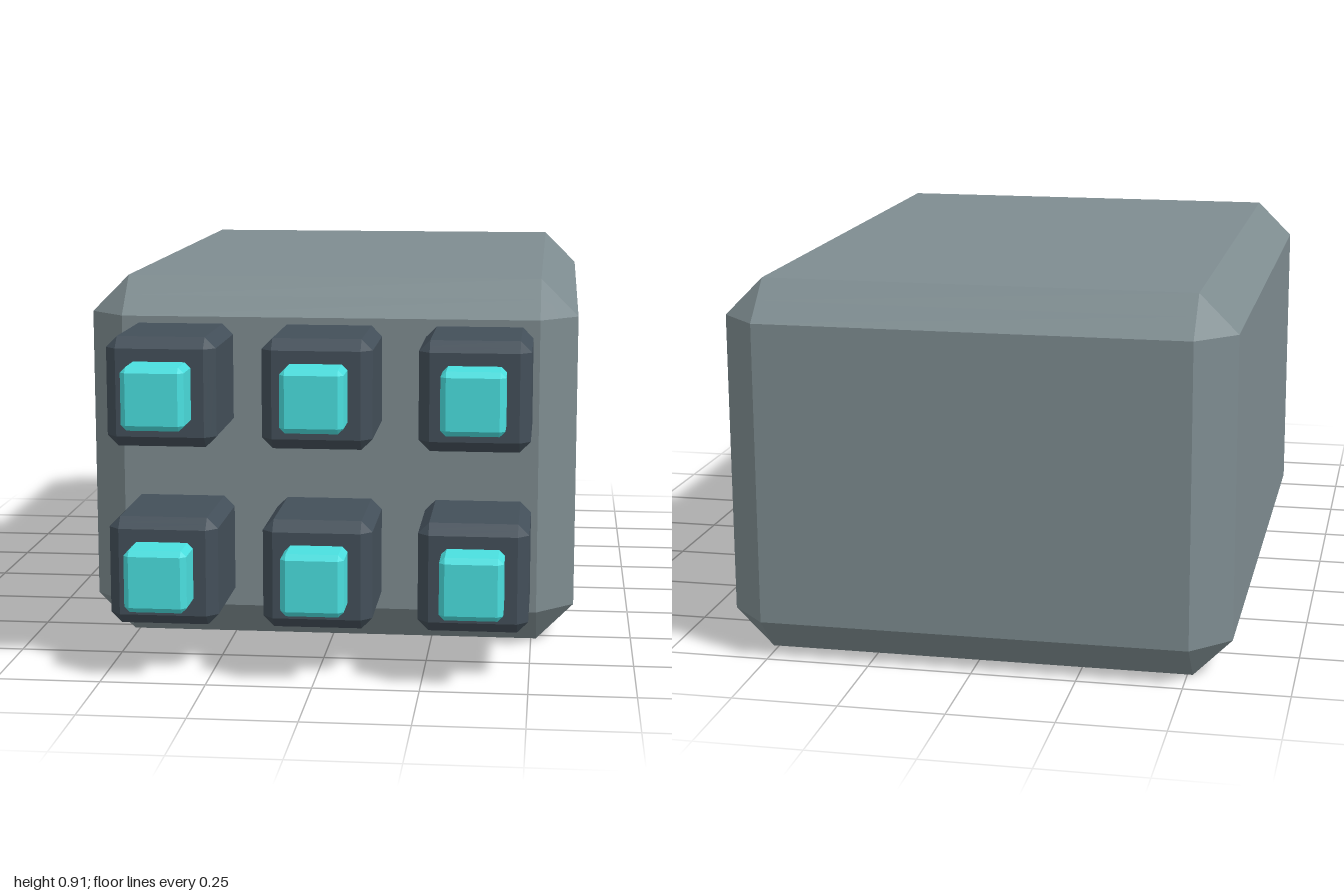
import * as THREE from 'three';

const material = (name, color) => {
  const m = new THREE.MeshStandardMaterial({ color });
  m.name = name;
  return m;
};

// Box with flat 45-degree chamfers: a 3x3x3 grid whose outer rows are pulled onto the bevels.
function chamferBox(min, max, chamfer) {
  const geo = new THREE.BoxGeometry(3, 3, 3, 3, 3, 3);
  const pos = geo.attributes.position;
  for (let i = 0; i < pos.count; i++) {
    const p = [pos.getX(i), pos.getY(i), pos.getZ(i)];
    const outer = p.filter((v) => Math.abs(v) > 1).length; // 1 face, 2 edge, 3 corner
    const q = p.map((v, a) => {
      const inset = Math.abs(v) > 1 ? chamfer * (outer - 1) / outer : chamfer;
      return v > 0 ? max[a] - inset : min[a] + inset;
    });
    pos.setXYZ(i, ...q);
  }
  const flat = geo.toNonIndexed();
  flat.computeVertexNormals();
  return flat;
}

export function createModel() {
  const grey = material('casing grey', 0x7e8c90);
  const dark = material('dark slate', 0x434f59);
  const cyan = material('bright cyan', 0x4adfdf);
  const model = new THREE.Group();
  model.name = 'launcherPod';

  const add = (parent, name, geo, mat) => {
    const mesh = new THREE.Mesh(geo, mat);
    mesh.name = name;
    parent.add(mesh);
  };

  // Main casing
  add(model, 'casing', chamferBox([-0.605, 0, -1], [0.605, 0.91, 0.62], 0.092), grey);

  // Six tubes with square tips, set into the front face
  const tubeGeo = chamferBox([-0.13, -0.13, 0.52], [0.13, 0.13, 0.9], 0.026);
  const tipGeo = chamferBox([-0.074, -0.074, 0.85], [0.074, 0.074, 1], 0.013);
  for (const y of [0.241, 0.671]) {
    for (const x of [-0.367, 0, 0.367]) {
      const tube = new THREE.Group();
      tube.name = 'tube';
      tube.position.set(x, y, 0);
      add(tube, 'barrel', tubeGeo, dark);
      add(tube, 'tip', tipGeo, cyan);
      model.add(tube);
    }
  }
  return model;
}
